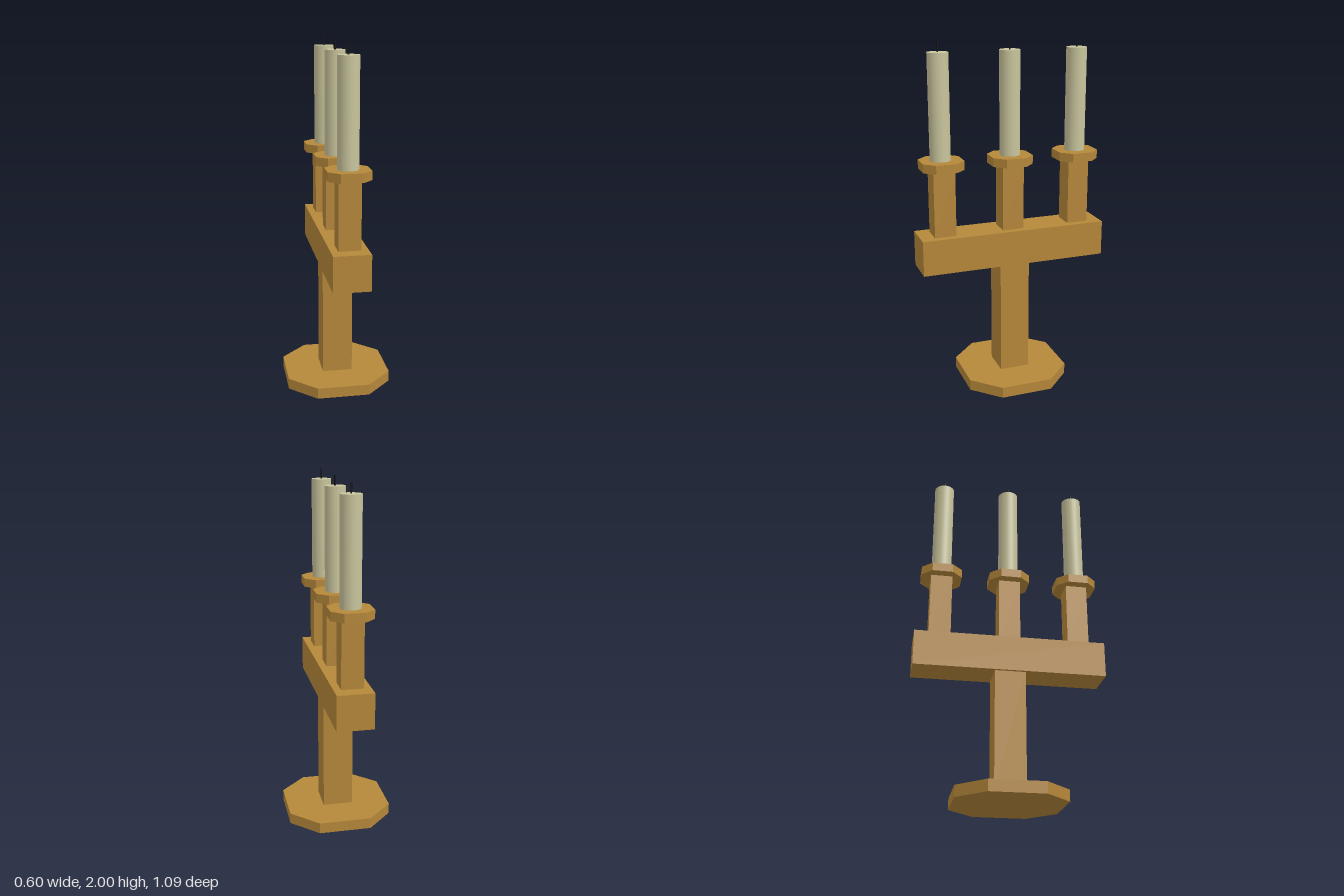
import * as THREE from 'three';

export function createModel() {
  const model = new THREE.Group();
  model.name = 'candleHolder';

  const material = (name, color) => {
    const m = new THREE.MeshStandardMaterial({ color });
    m.name = name;
    return m;
  };
  const wood = material('wood', 0xb5873a);
  const wax = material('wax', 0xc8c49c);
  const wickBlack = material('wickBlack', 0x101010);

  const add = (parent, name, geometry, mat, y = 0, z = 0) => {
    const mesh = new THREE.Mesh(geometry, mat);
    mesh.name = name;
    mesh.position.set(0, y, z);
    parent.add(mesh);
    return mesh;
  };

  // Box standing on its bottom face
  const block = (w, h, d) => new THREE.BoxGeometry(w, h, d).translate(0, h / 2, 0);

  // Round bar standing on its bottom face
  const rod = (r, h, sides) => new THREE.CylinderGeometry(r, r, h, sides).translate(0, h / 2, 0);

  // Square slab with its corners cut from half-way along each half side
  const octagonSlab = (half, height) => {
    const c = half / 2;
    const shape = new THREE.Shape([
      [half, -c], [half, c], [c, half], [-c, half],
      [-half, c], [-half, -c], [-c, -half], [c, -half],
    ].map(([x, y]) => new THREE.Vector2(x, y)));
    return new THREE.ExtrudeGeometry(shape, { depth: height, bevelEnabled: false })
      .rotateX(-Math.PI / 2);
  };

  // Stand
  add(model, 'base', octagonSlab(0.3, 0.063), wood);
  add(model, 'column', block(0.174, 0.667, 0.174), wood, 0.063);
  add(model, 'crossbeam', block(0.206, 0.203, 1.086), wood, 0.73);

  // Three candle arms along the beam: [holder z, candle z]
  const arms = { front: [0.401, 0.405], middle: [0, 0], back: [-0.399, -0.398] };
  for (const [place, [holderZ, candleZ]] of Object.entries(arms)) {
    const arm = new THREE.Group();
    arm.name = `${place}CandleArm`;
    add(arm, 'post', block(0.124, 0.377, 0.124), wood, 0.933, holderZ);
    add(arm, 'dripPlate', octagonSlab(0.117, 0.05), wood, 1.31, holderZ);
    add(arm, 'candle', rod(0.058, 0.584, 32), wax, 1.36, candleZ);
    add(arm, 'wick', rod(0.005, 0.056, 12), wickBlack, 1.944, candleZ);
    model.add(arm);
  }

  return model;
}
